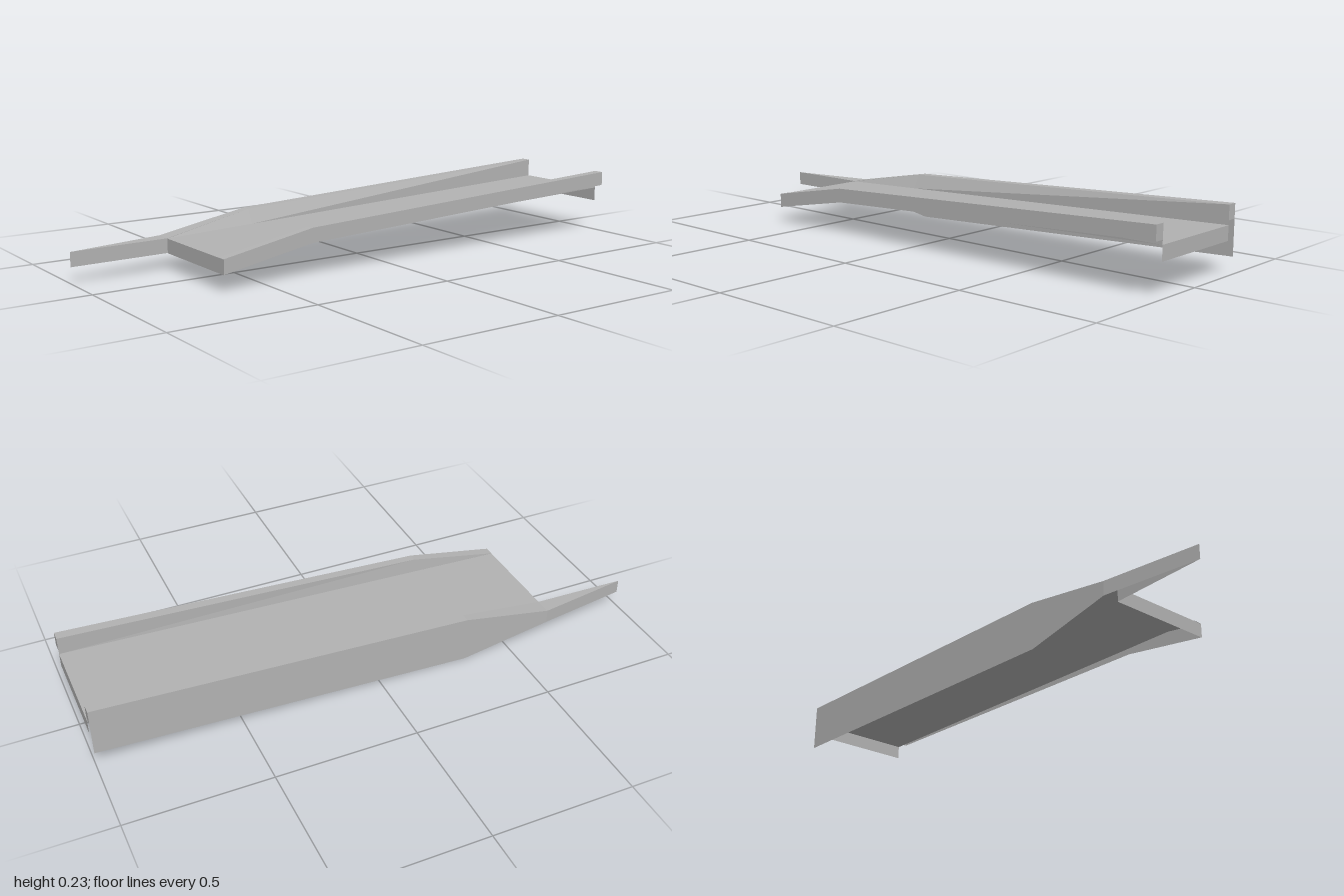
import * as THREE from 'three';

export function createModel() {
  const group = new THREE.Group();
  group.name = 'rampSection';
  const grey = new THREE.MeshStandardMaterial({ color: 0xb2b2b2, side: THREE.DoubleSide, flatShading: true });
  grey.name = 'concreteGrey';

  // Ribbon of quads between a lower line and an upper line, seen left to right
  function ribbon(name, lower, upper) {
    const pos = [];
    for (let i = 0; i < lower.length - 1; i++) {
      const [a, b, c, d] = [lower[i], lower[i + 1], upper[i + 1], upper[i]];
      pos.push(...a, ...b, ...c, ...a, ...c, ...d);
    }
    const geo = new THREE.BufferGeometry();
    geo.setAttribute('position', new THREE.Float32BufferAttribute(pos, 3));
    geo.computeVertexNormals();
    const mesh = new THREE.Mesh(geo, grey);
    mesh.name = name;
    group.add(mesh);
  }

  // Shared stations along the length
  const xs = [-0.66, -0.33, 1];
  const topY = [0.108, 0.168, 0.228];
  const deckY = [0.107, 0.118, 0.163];
  const lip = 0.05;
  const line = (ys, zs) => xs.map((x, i) => [x, ys[i], zs[i]]);
  const drop = (pts, h) => pts.map(([x, y, z]) => [x, y - h, z]);

  // Edges of deck and curbs
  const deckFront = line(deckY, [0.185, 0.185, 0.185]);
  const deckBack = line(deckY, [-0.16, -0.165, -0.185]);
  const frontIn = line(topY, [0.185, 0.19, 0.184]);
  const frontOut = line(topY, [0.22, 0.22, 0.22]);
  const backIn = line(topY, [-0.16, -0.188, -0.185]);
  const backOut = line(topY, [-0.22, -0.22, -0.22]);
  const skirtFoot = line([0.058, 0, 0.057], [-0.22, -0.22, -0.22]);

  // Road deck with a lip at each end
  ribbon('deck', deckFront, deckBack);
  const deckEnd = [deckFront[2], deckBack[2]];
  ribbon('deckHighLip', drop(deckEnd, lip), deckEnd);
  const lowEnd = [deckBack[0], [-0.66, 0.107, 0.22]];
  ribbon('deckLowLip', drop(lowEnd, lip), lowEnd);

  // Front curb: top, outer lip, inner wall, end cap
  ribbon('frontCurbTop', frontOut, frontIn);
  ribbon('frontCurbOuter', drop(frontOut, lip), frontOut);
  ribbon('frontCurbInner', frontIn, deckFront);
  const frontCap = [frontOut[2], frontIn[2]];
  ribbon('frontCurbCap', drop(frontCap, lip), frontCap);

  // Back curb: top, tall outer skirt, inner wall, end cap
  ribbon('backCurbTop', backIn, backOut);
  ribbon('backSkirt', backOut, skirtFoot);
  ribbon('backCurbInner', deckBack, backIn);
  const backCap = [backIn[2], backOut[2]];
  ribbon('backCurbCap', drop(backCap, lip), backCap);

  // Tapered wing running on from the back curb
  const tip = [-1, 0.105, -0.165];
  const wingIn = [tip, backIn[0]];
  const wingOut = [backOut[0], tip];
  ribbon('wingTop', wingIn, [tip, backOut[0]]);
  ribbon('wingInner', drop(wingIn, lip), wingIn);
  ribbon('wingOuter', drop(wingOut, lip), wingOut);

  return group;
}
